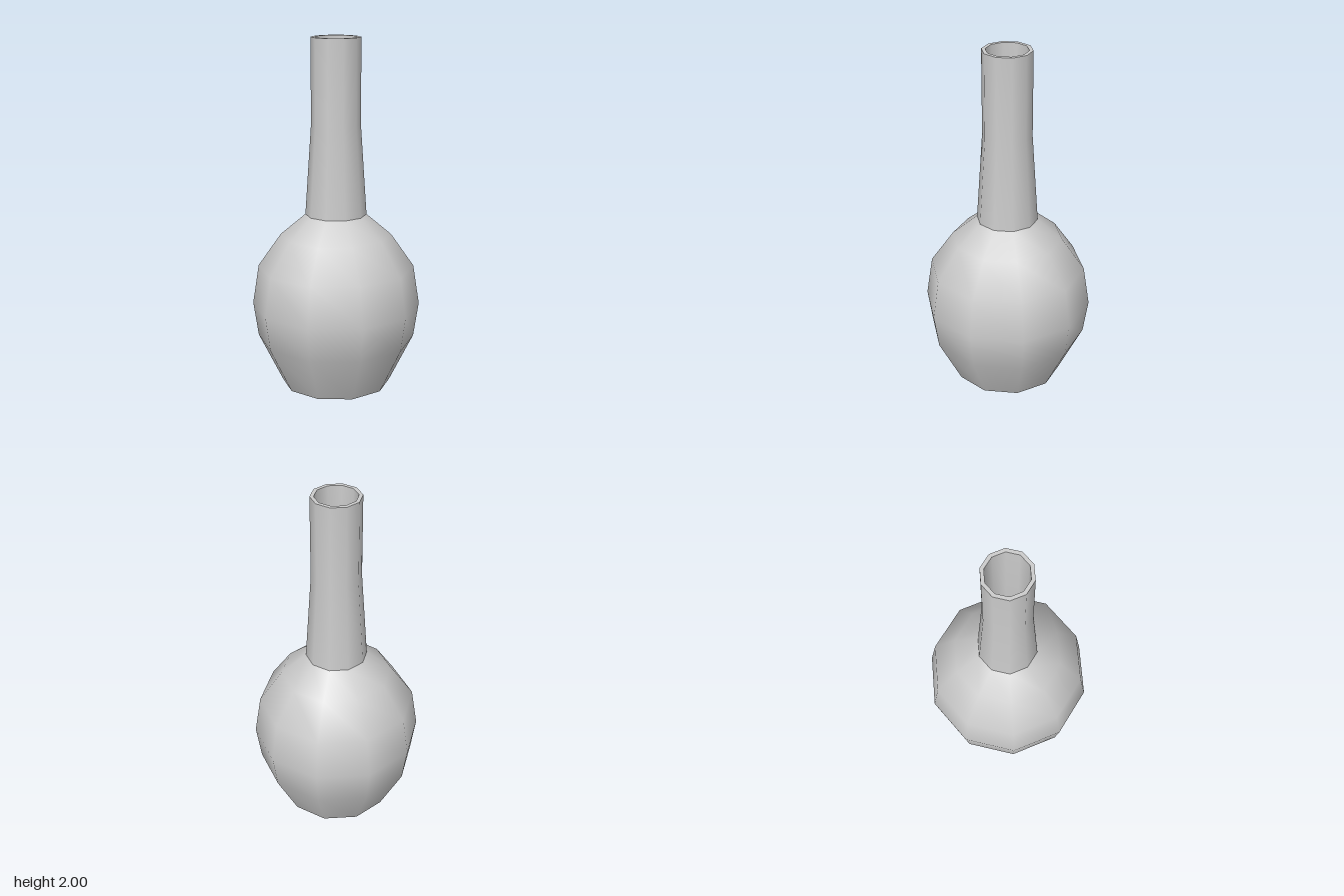
import * as THREE from 'three';

const SIDES = 10;
const START = THREE.MathUtils.degToRad(91.8); // slight twist of the ten corners

// Each part is a ten-sided turned surface; separate lathes keep creases sharp.
// Profiles run up the outside, across the rim and down the inside.
function turned(name, profile, material) {
  const points = profile.map(([r, y]) => new THREE.Vector2(r, y));
  const mesh = new THREE.Mesh(new THREE.LatheGeometry(points, SIDES, START), material);
  mesh.name = name;
  return mesh;
}

export function createModel() {
  const group = new THREE.Group();
  group.name = 'vase';
  const material = new THREE.MeshStandardMaterial({ color: 0xcccccc });

  const parts = {
    // very shallow cone underneath
    base: [[0, 0.005], [0.31, 0.017]],
    // rounded belly
    body: [[0.31, 0.017], [0.447, 0.29], [0.476, 0.485], [0.441, 0.71], [0.312, 0.895], [0.172, 1.012]],
    // flared below, straight above
    neck: [[0.172, 1.012], [0.138, 1.52], [0.138, 2]],
    rim: [[0.138, 2], [0.117, 2]],
    // hollow inside
    innerNeck: [[0.117, 2], [0.108, 1.52], [0.145, 1.02]],
    innerBody: [[0.145, 1.02], [0.29, 0.88], [0.415, 0.7], [0.45, 0.485], [0.42, 0.3], [0.295, 0.045]],
    innerFloor: [[0.295, 0.045], [0, 0.035]],
  };
  for (const [name, profile] of Object.entries(parts)) group.add(turned(name, profile, material));

  return group;
}
